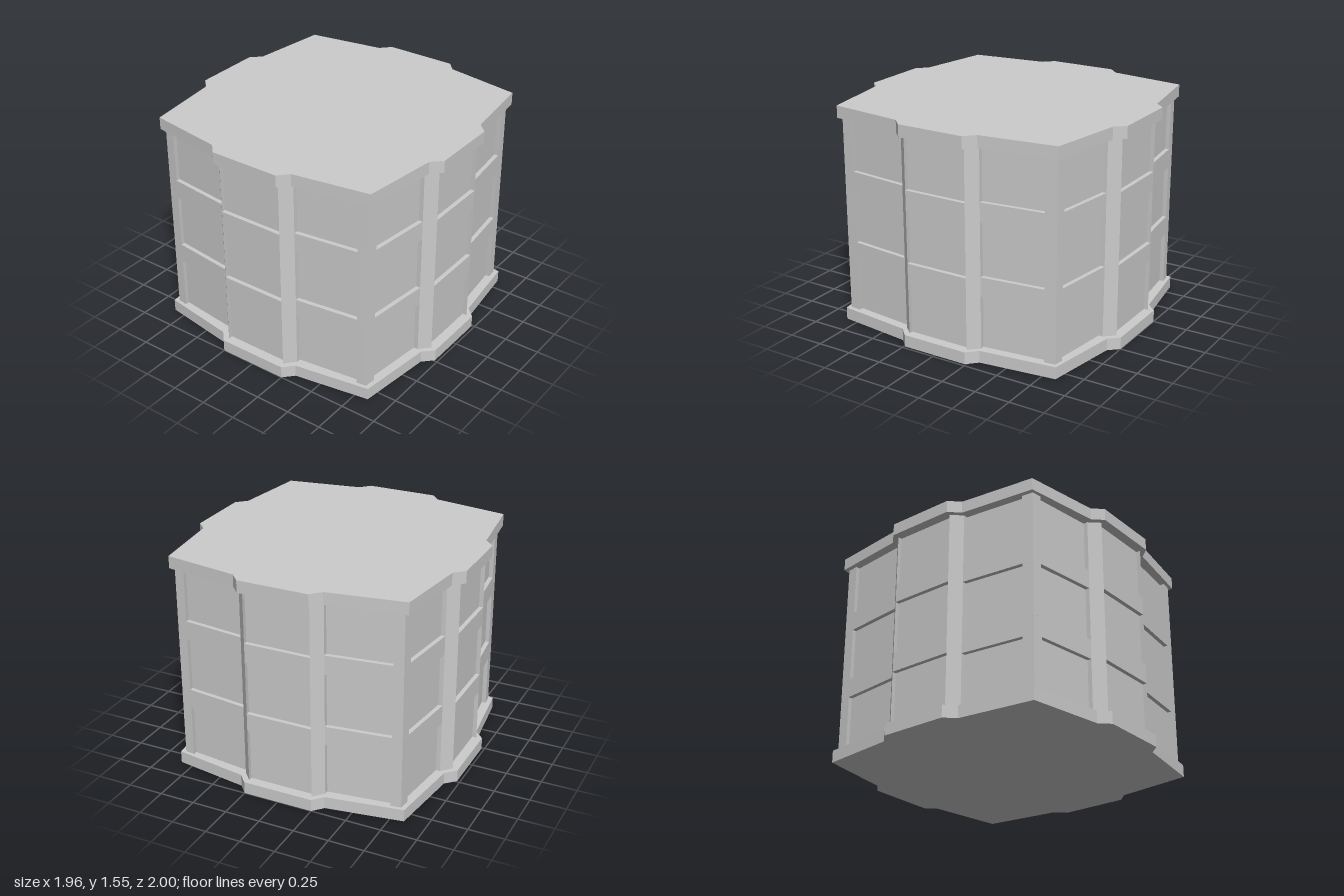
import * as THREE from 'three';

// Quarter outlines [x, z], running from the front bay round to the side bay
const SLAB = [[0.25, 1], [0.315, 0.93], [0.845, 0.845], [0.91, 0.31], [0.98, 0.24]];
const BAND = [[0.235, 0.96], [0.3, 0.89], [0.815, 0.825], [0.875, 0.3], [0.94, 0.23]];
// Same as the band, with the panels set back between posts and corners
const STOREY = [
  [0.235, 0.93], [0.235, 0.96], [0.3, 0.89], [0.3, 0.86],
  [0.745, 0.804], [0.745, 0.834], [0.815, 0.825], [0.824, 0.745],
  [0.794, 0.745], [0.845, 0.3], [0.875, 0.3], [0.94, 0.23], [0.91, 0.23],
];

// Mirror a quarter outline into a closed plan
function plan(quarter) {
  const points = [];
  for (const [sx, sz] of [[1, 1], [1, -1], [-1, -1], [-1, 1]]) {
    const part = quarter.map(([x, z]) => new THREE.Vector2(x * sx, z * sz));
    points.push(...(sx * sz > 0 ? part : part.reverse()));
  }
  return new THREE.Shape(points);
}

export function createModel() {
  const model = new THREE.Group();
  model.name = 'buildingBlock';
  const material = new THREE.MeshStandardMaterial({ color: 0xcccccc, flatShading: true });

  // One horizontal layer, from height y0 to y1
  function layer(name, quarter, y0, y1) {
    const geometry = new THREE.ExtrudeGeometry(plan(quarter), { depth: y1 - y0, bevelEnabled: false });
    geometry.rotateX(-Math.PI / 2);
    geometry.translate(0, y0, 0);
    const mesh = new THREE.Mesh(geometry, material);
    mesh.name = name;
    model.add(mesh);
  }

  // Base and roof slabs
  layer('baseSlab', SLAB, 0, 0.085);
  layer('roofSlab', SLAB, 1.465, 1.55);

  // Three storeys of recessed panels
  [[0.085, 0.455], [0.59, 0.965], [1.1, 1.465]].forEach(([a, b], i) => layer(`storey${i + 1}`, STOREY, a, b));

  // Flush bands between the storeys
  [[0.455, 0.59], [0.965, 1.1]].forEach(([a, b], i) => layer(`floorBand${i + 1}`, BAND, a, b));

  return model;
}
